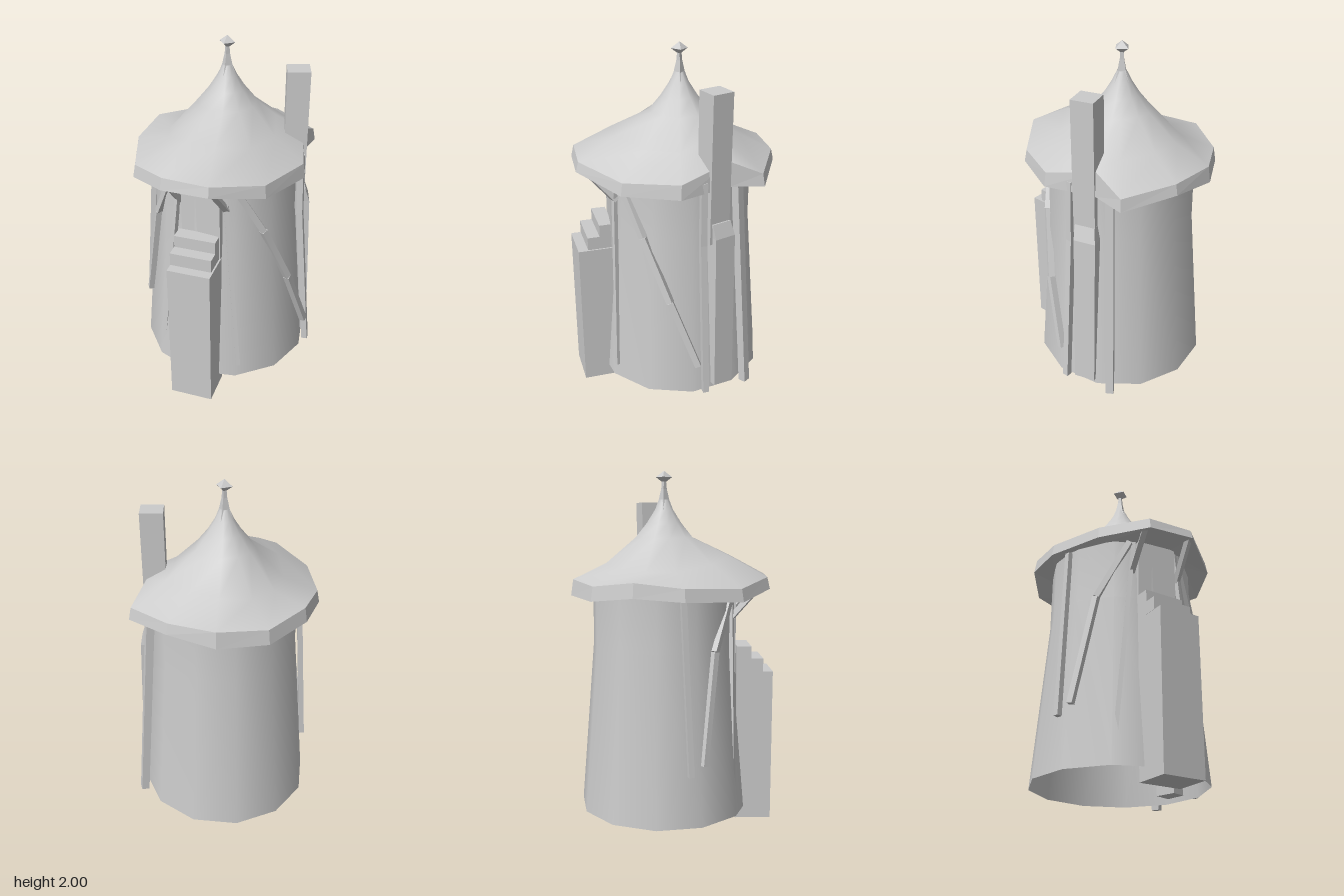
import * as THREE from 'three';

const CX = -0.01, CZ = -0.055; // tower axis
const V = (x, y, z) => new THREE.Vector3(x, y, z);
const grey = new THREE.MeshStandardMaterial({ color: 0xcccccc, side: THREE.DoubleSide });
const greyFlat = new THREE.MeshStandardMaterial({ color: 0xcccccc, side: THREE.DoubleSide, flatShading: true });

// Skin between closed rings of equal length, listed from bottom to top
function loft(rings) {
  const n = rings[0].length, pos = [], index = [];
  rings.forEach(r => r.forEach(p => pos.push(p.x, p.y, p.z)));
  for (let j = 0; j < rings.length - 1; j++) {
    for (let i = 0; i < n; i++) {
      const a = j * n + i, b = j * n + (i + 1) % n;
      index.push(b, a, a + n, b, a + n, b + n);
    }
  }
  const g = new THREE.BufferGeometry();
  g.setAttribute('position', new THREE.Float32BufferAttribute(pos, 3));
  g.setIndex(index);
  g.computeVertexNormals();
  return g;
}

// Rotated square ring
function square(x, y, z, size, turn) {
  return [0, 1, 2, 3].map(i => {
    const a = -turn + Math.PI / 4 + i * Math.PI / 2, r = size / Math.SQRT2;
    return V(x + Math.cos(a) * r, y, z + Math.sin(a) * r);
  });
}

// Square timber through a list of points, one face turned out from the tower
function beam(name, points, w = 0.03, d = w) {
  const group = new THREE.Group();
  group.name = name;
  for (let i = 0; i < points.length - 1; i++) {
    const a = V(...points[i]), b = V(...points[i + 1]);
    const mid = a.clone().add(b).multiplyScalar(0.5);
    const up = b.clone().sub(a), len = up.length();
    up.normalize();
    const side = up.clone().cross(V(mid.x - CX, 0, mid.z - CZ)).normalize();
    const out = side.clone().cross(up);
    const m = new THREE.Mesh(new THREE.BoxGeometry(w, len, d), greyFlat);
    m.quaternion.setFromRotationMatrix(new THREE.Matrix4().makeBasis(side, up, out));
    m.position.copy(mid);
    m.name = name + 'Segment';
    group.add(m);
  }
  return group;
}

export function createModel() {
  const model = new THREE.Group();
  const add = (name, geo, mat = greyFlat) => {
    const m = new THREE.Mesh(geo, mat);
    m.name = name;
    model.add(m);
    return m;
  };

  // Tapered tower wall, straight near the top, open below
  const wall = [[0.495, 0.07], [0.415, 1.02], [0.412, 1.4]].map(p => new THREE.Vector2(...p));
  add('towerWall', new THREE.LatheGeometry(wall, 12), grey).position.set(CX, 0, CZ);

  // Roof eave: x, z, lower y, upper y, y halfway up the slope
  const eave = [
    [-0.17, -0.565, 1.31, 1.40, 1.49], [0.10, -0.575, 1.34, 1.40, 1.49],
    [0.38, -0.45, 1.30, 1.37, 1.49], [0.375, -0.26, 1.31, 1.45, 1.54],
    [0.485, 0.02, 1.30, 1.38, 1.49], [0.38, 0.32, 1.30, 1.37, 1.49],
    [0.155, 0.535, 1.36, 1.415, 1.53], [-0.115, 0.545, 1.35, 1.415, 1.53],
    [-0.36, 0.40, 1.30, 1.37, 1.49], [-0.51, 0.10, 1.31, 1.38, 1.45],
    [-0.52, -0.17, 1.33, 1.41, 1.45], [-0.40, -0.41, 1.30, 1.38, 1.46],
  ];
  const atRadius = (r, y) => eave.map(([x, z]) => {
    const a = Math.atan2(z - CZ, x - CX);
    return V(CX + Math.cos(a) * r, y, CZ + Math.sin(a) * r);
  });
  const scaled = (s, k) => eave.map(e => V(CX + (e[0] - CX) * s, e[k], CZ + (e[1] - CZ) * s));
  add('eaveRim', loft([atRadius(0.4, 1.37), scaled(1, 2), scaled(0.975, 3)]));
  add('roof', loft([scaled(0.975, 3), scaled(0.62, 4), atRadius(0.165, 1.63),
    atRadius(0.1, 1.71), atRadius(0.055, 1.78), atRadius(0.025, 1.84)]), grey);

  // Four-sided spire and finial
  const spire = [[0.055, 1.775], [0.03, 1.84], [0.016, 1.9], [0.012, 1.945]];
  add('spire', loft(spire.map(([r, y]) => square(CX, y, CZ, r * Math.SQRT2, Math.PI / 4))));
  const finial = add('finial', new THREE.OctahedronGeometry(1));
  finial.scale.set(0.046, 0.035, 0.046);
  finial.position.set(CX, 1.965, CZ);

  // Chimney shaft above, wider breast leaning against the wall below
  const shaft = [[0.35, 1.0, -0.18, 0.125], [0.35, 1.83, -0.18, 0.125], [0.35, 1.83, -0.18, 0]];
  const breast = [[0.405, 0.1, -0.215, 0], [0.405, 0.1, -0.215, 0.125], [0.376, 1.04, -0.207, 0.125],
    [0.36, 1.12, -0.19, 0.115], [0.36, 1.12, -0.19, 0]];
  const stack = p => loft(p.map(([x, y, z, s]) => square(x, y, z, s, 0.4)));
  add('chimneyShaft', stack(shaft));
  add('chimneyBreast', stack(breast));

  // Stepped block in front of the door, slightly turned
  const porch = new THREE.Group();
  porch.name = 'porch';
  porch.position.set(0.028, 0, 0.457);
  porch.rotation.y = 0.115;
  [[0, 0.875, 0.103, 0.245], [0.875, 0.95, 0.047, 0.236], [0.95, 1.02, -0.022, 0.236]].forEach(([y0, y1, front, w], i) => {
    const back = -0.103;
    const m = new THREE.Mesh(new THREE.BoxGeometry(w, y1 - y0, front - back), greyFlat);
    m.position.set(i ? -0.005 : 0, (y0 + y1) / 2, (front + back) / 2);
    m.name = 'step' + (i + 1);
    porch.add(m);
  });
  model.add(porch);

  // Door panel
  add('door', new THREE.BoxGeometry(0.23, 0.5, 0.04)).position.set(0.02, 1.12, 0.338);

  // Timber posts and braces around the door
  model.add(
    beam('doorPostLeft', [[0.145, 1.38, 0.33], [0.25, 0.15, 0.355]], 0.024),
    beam('doorPostRight', [[-0.11, 1.38, 0.33], [-0.235, 0.16, 0.355]], 0.024),
    beam('eaveBracketLeft', [[0.16, 1.18, 0.325], [0.15, 1.38, 0.5]], 0.03),
    beam('eaveBracketRight', [[-0.12, 1.18, 0.325], [-0.12, 1.38, 0.5]], 0.03),
    beam('braceLeft', [[0.17, 1.36, 0.32], [0.325, 1.02, 0.2], [0.43, 0.66, 0.07], [0.495, 0.26, -0.08]], 0.035),
    beam('braceRight', [[-0.14, 1.36, 0.34], [-0.3, 1.02, 0.25], [-0.41, 0.41, 0.2]], 0.032),
  );

  // Side posts
  model.add(
    beam('sidePostLeft', [[0.415, 1.36, -0.11], [0.425, 1.0, -0.11], [0.5, 0.08, -0.125]], 0.035),
    beam('backPostLeft', [[0.32, 1.36, -0.31], [0.395, 0.05, -0.385]], 0.045),
    beam('sidePostRight', [[-0.4, 1.36, 0.08], [-0.45, 0.36, 0.13]], 0.03),
  );
  return model;
}
